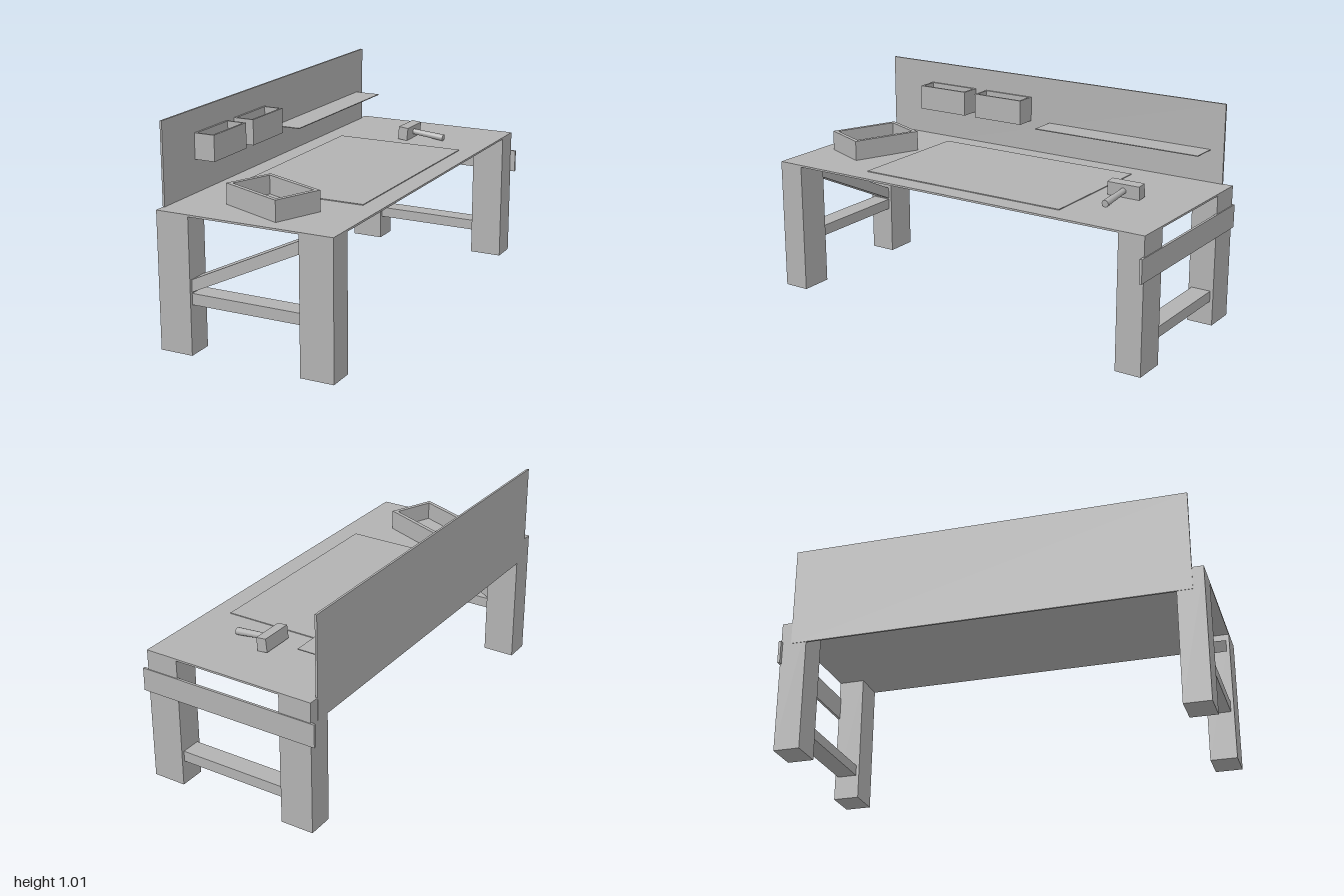
import * as THREE from 'three';

const grey = new THREE.MeshStandardMaterial({ color: 0xb2b2b2 });
grey.name = 'plain grey';

// Box given by its lower and upper limits on each axis
function box(name, x0, x1, y0, y1, z0, z1) {
  const mesh = new THREE.Mesh(new THREE.BoxGeometry(x1 - x0, y1 - y0, z1 - z0), grey);
  mesh.name = name;
  mesh.position.set((x0 + x1) / 2, (y0 + y1) / 2, (z0 + z1) / 2);
  return mesh;
}

// Open-topped tray: one extruded rim plus a floor, standing on y = 0
function openBox(name, w, h, d, wall, floor) {
  const group = new THREE.Group();
  group.name = name;
  const rect = (target, a, b) => {
    target.moveTo(-a, -b);
    target.lineTo(a, -b);
    target.lineTo(a, b);
    target.lineTo(-a, b);
    target.closePath();
    return target;
  };
  const rim = rect(new THREE.Shape(), w / 2, d / 2);
  rim.holes.push(rect(new THREE.Path(), w / 2 - wall, d / 2 - wall));
  const geo = new THREE.ExtrudeGeometry(rim, { depth: h, bevelEnabled: false });
  geo.rotateX(-Math.PI / 2);
  const walls = new THREE.Mesh(geo, grey);
  walls.name = name + 'Walls';
  group.add(walls);
  group.add(box(name + 'Floor', -w / 2 + wall, w / 2 - wall, 0, floor, -d / 2 + wall, d / 2 - wall));
  return group;
}

export function createModel() {
  const model = new THREE.Group();
  model.name = 'workbench';

  // Table top and thin work mat
  model.add(box('tableTop', -0.43, 0.42, 0.628, 0.637, -0.995, 1));
  model.add(box('workMat', -0.328, 0.324, 0.637, 0.641, -0.522, 0.542));

  // Four legs
  for (const [x0, x1] of [[-0.43, -0.271], [0.261, 0.42]]) {
    for (const [z0, z1] of [[0.875, 1], [-0.995, -0.87]]) {
      model.add(box('leg', x0, x1, 0, 0.63, z0, z1));
    }
  }

  // Cross rails, end board and diagonal brace
  model.add(box('frontRail', -0.271, 0.261, 0.23, 0.282, 0.89, 0.985));
  model.add(box('backRail', -0.271, 0.261, 0.116, 0.167, -0.98, -0.885));
  model.add(box('backBoard', -0.449, 0.446, 0.432, 0.542, -1, -0.988));
  const brace = new THREE.Shape([
    new THREE.Vector2(-0.271, 0.287),
    new THREE.Vector2(0.261, 0.54),
    new THREE.Vector2(0.261, 0.598),
    new THREE.Vector2(-0.271, 0.344),
  ]);
  const braceMesh = new THREE.Mesh(
    new THREE.ExtrudeGeometry(brace, { depth: 0.095, bevelEnabled: false }), grey);
  braceMesh.name = 'diagonalBrace';
  braceMesh.position.z = 0.89;
  model.add(braceMesh);

  // Upright panel along one long side, with shelf and two bins
  model.add(box('uprightPanel', -0.432, -0.422, 0.53, 1.015, -0.945, 0.947));
  model.add(box('shelf', -0.422, -0.291, 0.789, 0.793, -0.878, -0.007));
  for (const z of [0.566, 0.234]) {
    const bin = openBox('bin', 0.101, 0.12, 0.27, 0.01, 0.01);
    bin.position.set(-0.3715, 0.79, z);
    model.add(bin);
  }

  // Turned tray on the table
  const tray = openBox('tray', 0.347, 0.096, 0.238, 0.02, 0.01);
  tray.position.set(-0.001, 0.637, 0.75);
  tray.rotation.y = -0.4;
  model.add(tray);

  // Mallet lying slightly tilted, handle end touching the table
  const mallet = new THREE.Group();
  mallet.name = 'mallet';
  mallet.add(box('malletHead', -0.025, 0.025, -0.032, 0.032, -0.081, 0.081));
  const handle = new THREE.Mesh(new THREE.CylinderGeometry(0.017, 0.014, 0.165, 12), grey);
  handle.name = 'malletHandle';
  handle.rotation.z = -Math.PI / 2;
  handle.position.x = 0.107;
  mallet.add(handle);
  mallet.position.set(-0.012, 0.672, -0.667);
  mallet.rotation.z = -0.1;
  model.add(mallet);

  return model;
}
